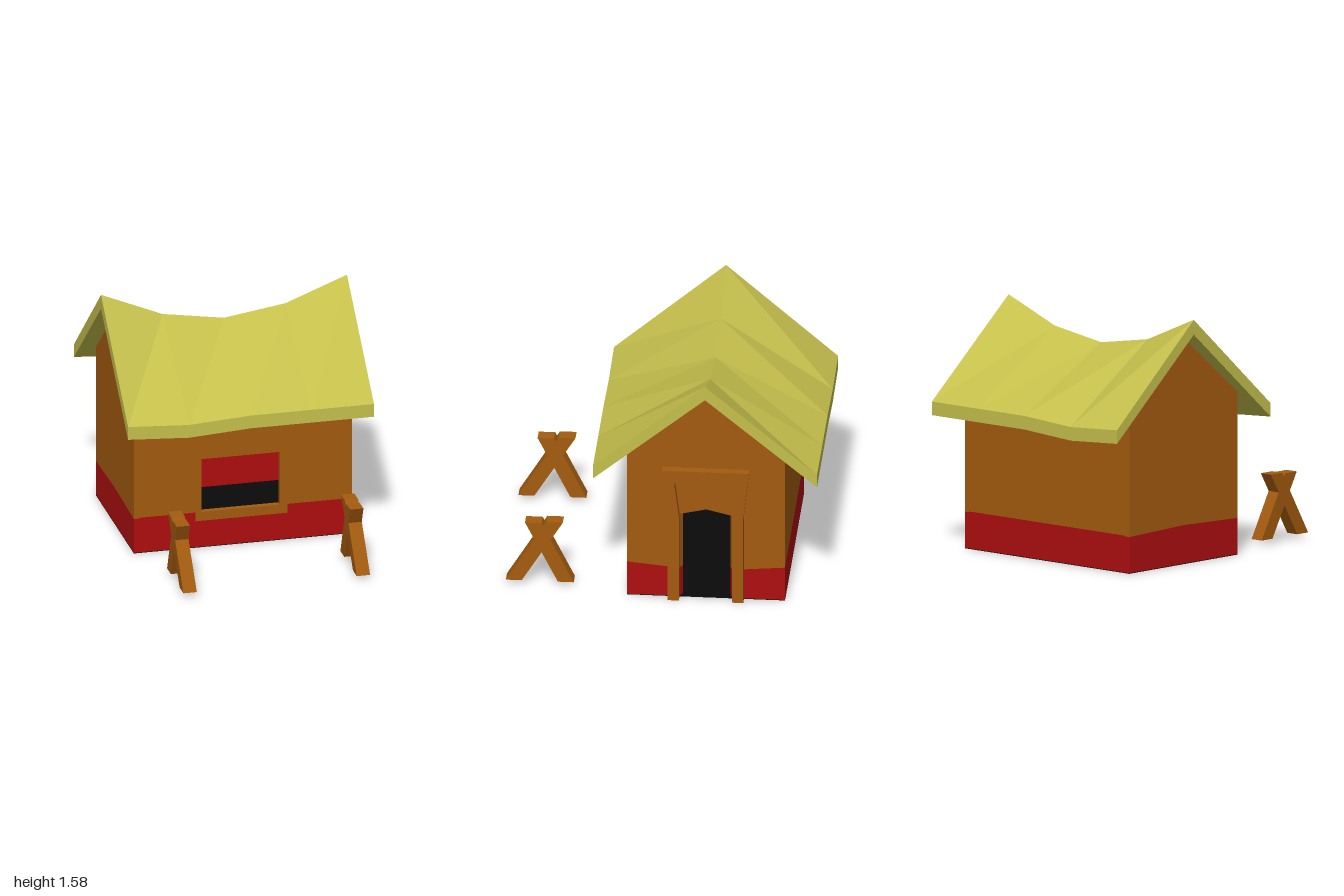
import * as THREE from 'three';

const mat = (name, color) => {
  const m = new THREE.MeshStandardMaterial({ color });
  m.name = name;
  return m;
};

// Flat-shaded slab extruded from a 2D outline, with an optional rule that moves its vertices
function slab(name, points, depth, material, hole, rule) {
  const toV = (list) => list.map(([x, y]) => new THREE.Vector2(x, y));
  const shape = new THREE.Shape(toV(points));
  if (hole) shape.holes.push(new THREE.Path(toV(hole)));
  const geo = new THREE.ExtrudeGeometry(shape, { depth, bevelEnabled: false });
  if (rule) {
    const p = geo.attributes.position;
    const v = new THREE.Vector3();
    for (let i = 0; i < p.count; i++) {
      rule(v.fromBufferAttribute(p, i));
      p.setXYZ(i, v.x, v.y, v.z);
    }
    geo.computeVertexNormals();
  }
  const mesh = new THREE.Mesh(geo, material);
  mesh.name = name;
  return mesh;
}

// Swaybacked roof: six-point chevron sections joined along x
function roofGeometry() {
  // x, ridge height, eave height
  const stations = [
    [-0.8, 1.575, 0.955], [-0.4, 1.405, 0.93], [0, 1.34, 0.955],
    [0.4, 1.4, 0.955], [0.8, 1.555, 0.955],
  ];
  const mid = -0.29, half = 0.71, eaveDrop = 0.087, ridgeDrop = 0.095;
  const rings = stations.map(([x, r, e]) => [
    [x, e, mid + half], [x, r, mid], [x, e, mid - half],
    [x, e - eaveDrop, mid - half], [x, r - ridgeDrop, mid], [x, e - eaveDrop, mid + half],
  ]);
  const out = [];
  const quad = (a, b, c, d) => out.push(...a, ...b, ...c, ...a, ...c, ...d);
  for (let i = 0; i < rings.length - 1; i++) {
    for (let j = 0; j < 6; j++) {
      const k = (j + 1) % 6;
      quad(rings[i][j], rings[i + 1][j], rings[i + 1][k], rings[i][k]);
    }
  }
  // Gable ends
  const s = rings[0], e = rings[rings.length - 1];
  quad(s[0], s[1], s[4], s[5]);
  quad(s[1], s[2], s[3], s[4]);
  quad(e[5], e[4], e[1], e[0]);
  quad(e[4], e[3], e[2], e[1]);
  const geo = new THREE.BufferGeometry();
  geo.setAttribute('position', new THREE.Float32BufferAttribute(out, 3));
  geo.computeVertexNormals();
  return geo;
}

export function createModel() {
  const model = new THREE.Group();
  model.name = 'hut';
  const wood = mat('brown wood', 0xa35b0f);
  const red = mat('red base paint', 0xae0e10);
  const thatch = mat('olive roof', 0xc5bf4c);
  const black = mat('black floor', 0x0a0a0a);
  const T = 0.04, B = 0.004;

  const roof = new THREE.Mesh(roofGeometry(), thatch);
  roof.name = 'roof';
  model.add(roof);

  const floor = new THREE.Mesh(new THREE.BoxGeometry(1.42, B, 1), black);
  floor.name = 'floor';
  floor.position.set(0, B / 2, -0.29);
  model.add(floor);

  // Front wall with window; the paint steps down below the sill
  const w = 0.67;
  const step = [[-w, 0.24], [-0.31, 0.24], [-0.31, 0.18], [0.29, 0.18], [0.29, 0.24], [w, 0.24]];
  const front = new THREE.Group();
  front.name = 'frontWall';
  front.position.z = 0.21 - T;
  front.add(
    slab('frontUpper', [...step, [w, 1.05], [-w, 1.05]], T, wood,
      [[-0.27, 0.2401], [-0.27, 0.6], [0.24, 0.6], [0.24, 0.2401]]),
    slab('frontBase', [[-w, B], [w, B], ...step.slice().reverse()], T, red),
  );
  model.add(front);

  // Back wall
  const back = new THREE.Group();
  back.name = 'backWall';
  back.position.z = -0.79;
  back.add(
    slab('backUpper', [[-w, 0.24], [w, 0.24], [w, 1.05], [-w, 1.05]], T, wood),
    slab('backBase', [[-w, B], [w, B], [w, 0.24], [-w, 0.24]], T, red),
  );
  model.add(back);

  // Groups whose outlines lie in the z-y plane, extruded towards +x
  const sideGroup = (name, x, z) => {
    const g = new THREE.Group();
    g.name = name;
    g.rotation.y = Math.PI / 2;
    g.position.set(x, 0, z);
    model.add(g);
    return g;
  };
  const gableTop = [[0.5, 1.045], [0, 1.45], [-0.5, 1.045]];

  // Plain gable
  sideGroup('rightGable', -0.71, -0.29).add(
    slab('gableUpper', [[-0.5, 0.235], [0, 0.25], [0.5, 0.235], ...gableTop], T, wood),
    slab('gableBase', [[-0.5, B], [0.5, B], [0.5, 0.235], [0, 0.25], [-0.5, 0.235]], T, red),
  );

  // Door gable, the opening narrows towards the inside
  const taper = (v) => {
    if (v.z < 0.01 && Math.abs(Math.abs(v.x) - 0.17) < 0.001) v.x = Math.sign(v.x) * 0.15;
  };
  const doorGable = sideGroup('doorGable', 0.71 - T, -0.29);
  doorGable.add(slab('gableUpper', [
    [-0.5, 0.235], [-0.17, 0.205], [-0.17, 0.59], [0, 0.63], [0.17, 0.59],
    [0.17, 0.205], [0.5, 0.235], ...gableTop,
  ], T, wood, null, taper));
  for (const s of [-1, 1]) {
    doorGable.add(slab('gableBase',
      [[s * 0.5, B], [s * 0.17, B], [s * 0.17, 0.205], [s * 0.5, 0.235]], T, red, null, taper));
  }

  // Door frame flaring out above the opening
  sideGroup('doorFrame', 0.71, -0.29).add(slab('doorFrame', [
    [-0.24, 0], [-0.168, 0], [-0.168, 0.6], [-0.198, 0.835], [0.198, 0.835], [0.168, 0.6],
    [0.168, 0], [0.24, 0], [0.24, 0.6], [0.275, 0.925], [-0.275, 0.925], [-0.24, 0.6],
  ], 0.057, wood));

  // Crossed-beam trestles, leaning slightly sideways
  const lean = (v) => { v.z -= 0.015 * v.y / 0.44; };
  const trestle = (name, x, z) => sideGroup(name, x, z).add(
    slab('beam', [[-1, 0.03], [-0.9, 0.03], [-0.64, 0.445], [-0.745, 0.445]], 0.087, wood, null, lean),
    slab('beam', [[-0.67, 0.03], [-0.57, 0.03], [-0.78, 0.36], [-0.88, 0.435], [-0.88, 0.435]].slice(0, 2)
      .concat([[-0.775, 0.437], [-0.88, 0.437]].map(([a, b]) => [a, b])), 0.087, wood, null, lean),
  );
  trestle('rightTrestle', -0.582, 0);
  trestle('leftTrestle', 0.549, -0.015);

  return model;
}
